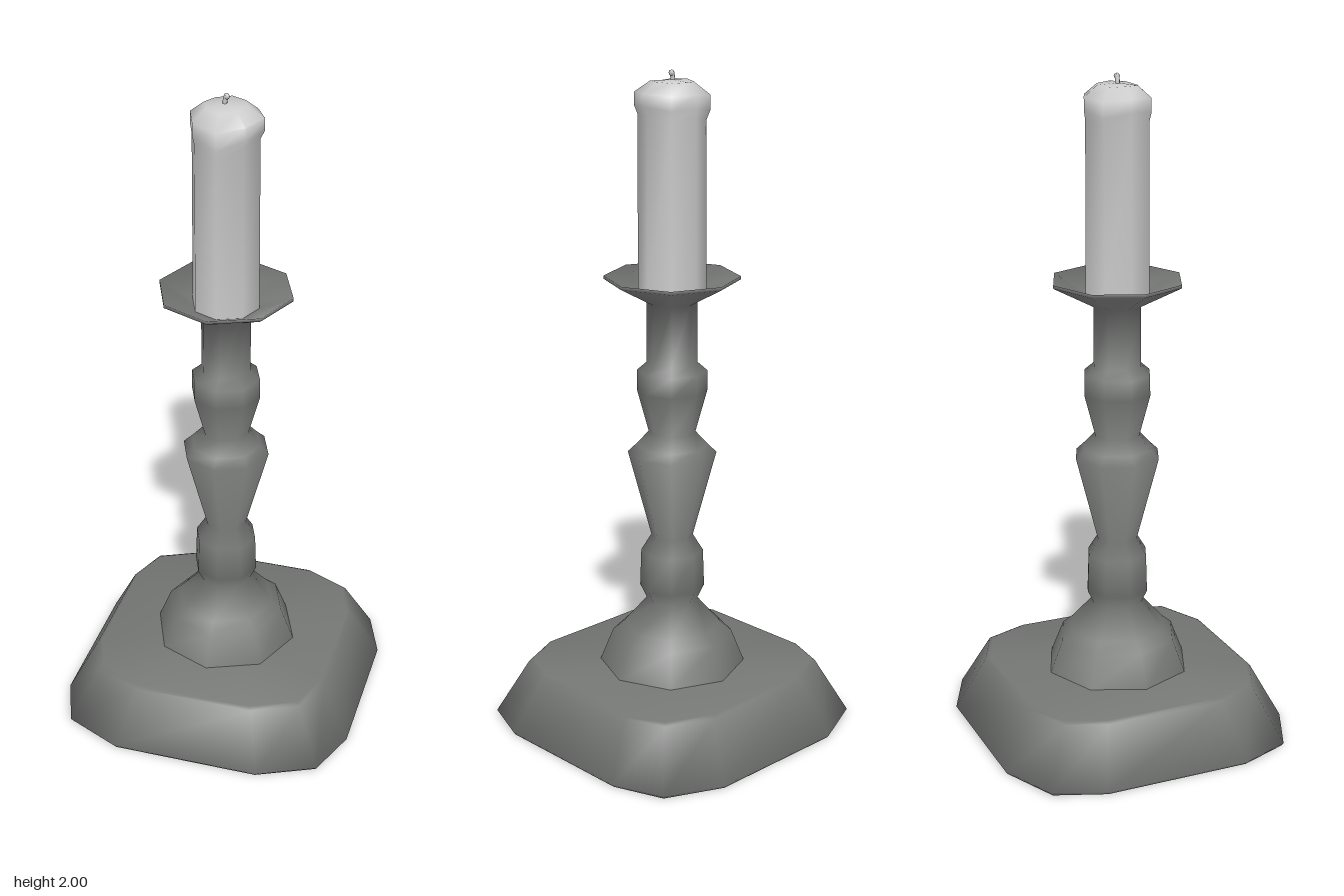
import * as THREE from 'three';
import { toCreasedNormals } from 'three/addons/utils/BufferGeometryUtils.js';

// Outlines run from +z towards +x
const octagon = Array.from({ length: 8 }, (_, i) => {
  const a = (i * Math.PI) / 4;
  return [Math.sin(a), Math.cos(a)];
});

// Square with doubly clipped corners, mirrored from one quarter
const corner = [[0.226, 0.456], [0.398, 0.378], [0.456, 0.226]];
const mirrored = (sx, sz) => corner.map(([x, z]) => [x * sx, z * sz]);
const clippedSquare = [
  ...mirrored(1, 1), ...mirrored(1, -1).reverse(), ...mirrored(-1, -1), ...mirrored(-1, 1).reverse(),
];

// Stacks scaled copies of an outline along a [scale, y] profile, bottom to top
function loft(outline, profile, crease, shape = (x, y, z) => [x, y, z]) {
  const n = outline.length;
  const point = (i, j) => {
    const [s, y] = profile[i];
    const [x, z] = outline[j % n];
    return shape(x * s, y, z * s, i, j % n);
  };
  const pos = [];
  for (let i = 0; i < profile.length - 1; i++) {
    for (let j = 0; j < n; j++) {
      const a = point(i, j), b = point(i, j + 1), c = point(i + 1, j + 1), d = point(i + 1, j);
      if (profile[i][0] > 0) pos.push(...a, ...b, ...c);
      if (profile[i + 1][0] > 0) pos.push(...a, ...c, ...d);
    }
  }
  const geo = new THREE.BufferGeometry();
  geo.setAttribute('position', new THREE.Float32BufferAttribute(pos, 3));
  return toCreasedNormals(geo, crease);
}

export function createModel() {
  const group = new THREE.Group();
  const metal = new THREE.MeshStandardMaterial({ color: 0x757775 });
  const wax = new THREE.MeshStandardMaterial({ color: 0xcccccc });
  const add = (name, geo, mat) => {
    const mesh = new THREE.Mesh(geo, mat);
    mesh.name = name;
    group.add(mesh);
  };

  // Solid plinth with softened edges
  add('base', loft(clippedSquare, [
    [0, 0.006], [0.92, 0.006], [0.985, 0], [1, 0.01], [0.81, 0.178], [0.785, 0.185], [0, 0.185],
  ], 1.5), metal);

  // Turned foot, stem and drip dish
  add('stem', loft(octagon, [
    [0.224, 0.18], [0.182, 0.285], [0.15, 0.312], [0.078, 0.393],
    [0.098, 0.435], [0.094, 0.55], [0.063, 0.6],
    [0.133, 0.865], [0.107, 0.89], [0.07, 0.93],
    [0.105, 1.06], [0.104, 1.12], [0.075, 1.145], [0.075, 1.328],
    [0.2, 1.395], [0.2, 1.405], [0.085, 1.35], [0, 1.345],
  ], 2.6), metal);

  // Candle with an uneven melted lip and domed top
  const bulge = [1.0, 1.06, 1.08, 1.0, 1.0, 1.06, 1.0, 1.02];
  const sag = [-0.025, 0.005, 0.01, 0, 0.004, -0.01, 0.005, 0];
  add('candle', loft(octagon, [
    [0.1, 1.345], [0.098, 1.87], [0.102, 1.895], [0.102, 1.935], [0.062, 1.968], [0, 1.972],
  ], 1.2, (x, y, z, i, j) => {
    const k = i === 2 || i === 3 ? bulge[j] : 1;
    const drop = sag[j] * [0, 1, 1, 0.5, 0.2, 0][i];
    return [x * k, y + drop, z * k];
  }), wax);

  // Bent wick
  const wickPath = new THREE.CatmullRomCurve3([
    new THREE.Vector3(0, 1.94, 0), new THREE.Vector3(-0.003, 1.975, 0), new THREE.Vector3(0.002, 1.995, 0),
  ]);
  add('wick', new THREE.TubeGeometry(wickPath, 4, 0.007, 6), wax);
  const tip = new THREE.SphereGeometry(0.009, 6, 4);
  tip.translate(0.002, 1.991, 0);
  add('wickTip', tip, wax);

  return group;
}
